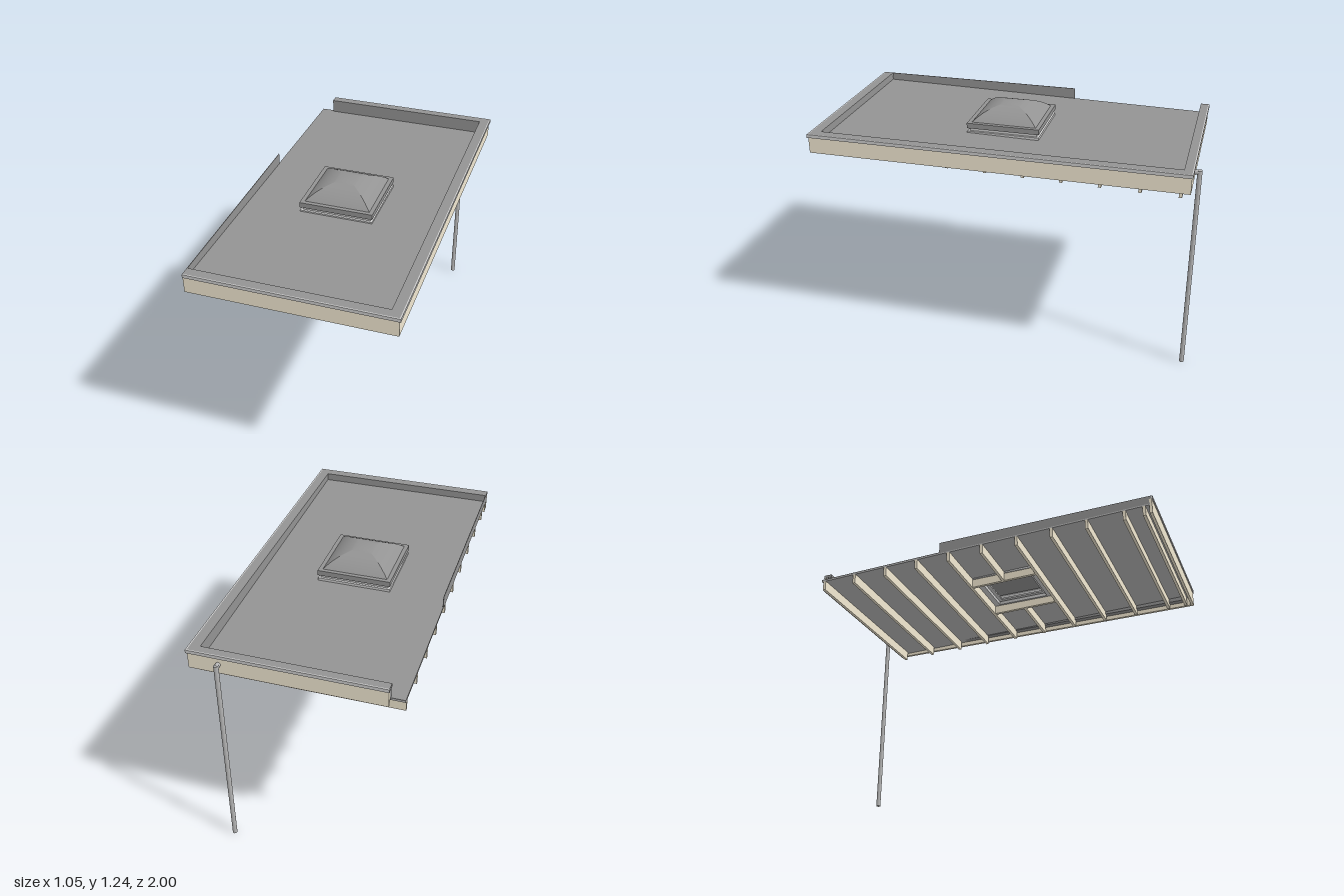
import * as THREE from 'three';
import { toCreasedNormals } from 'three/addons/utils/BufferGeometryUtils.js';

const metal = new THREE.MeshStandardMaterial({ color: 0xcccccc });
const pipeGrey = new THREE.MeshStandardMaterial({ color: 0xb6b6b6 });
const board = new THREE.MeshStandardMaterial({ color: 0xb8b8b8 });
const membrane = new THREE.MeshStandardMaterial({ color: 0x939393 });
const sheet = new THREE.MeshStandardMaterial({ color: 0x939393, side: THREE.DoubleSide });
const timber = new THREE.MeshStandardMaterial({ color: 0xf1e8d1 });

const SLOPE = 0.0167; // roof falls towards the back
const LIGHT_X = -0.036, LIGHT_Z = 0.057; // skylight centre

function add(parent, name, geometry, material) {
  const mesh = new THREE.Mesh(geometry, material);
  mesh.name = name;
  parent.add(mesh);
  return mesh;
}

// box given by its minimum and maximum on each axis
function box(parent, name, material, x0, x1, y0, y1, z0, z1) {
  const mesh = add(parent, name, new THREE.BoxGeometry(x1 - x0, y1 - y0, z1 - z0), material);
  mesh.position.set((x0 + x1) / 2, (y0 + y1) / 2, (z0 + z1) / 2);
}

function rectangle(path, x0, x1, y0, y1) {
  path.moveTo(x0, y0).lineTo(x1, y0).lineTo(x1, y1).lineTo(x0, y1).closePath();
  return path;
}

// flat plate lying level, drawn in x and -z
function plate(parent, name, material, shape, thickness, y) {
  const geometry = new THREE.ExtrudeGeometry(shape, { depth: thickness, bevelEnabled: false });
  geometry.rotateX(-Math.PI / 2);
  const mesh = add(parent, name, geometry, material);
  mesh.position.y = y;
  return mesh;
}

// level square ring around the skylight centre
function ring(parent, name, material, outer, inner, y0, y1) {
  const shape = rectangle(new THREE.Shape(), -outer / 2, outer / 2, -outer / 2, outer / 2);
  shape.holes.push(rectangle(new THREE.Path(), -inner / 2, inner / 2, -inner / 2, inner / 2));
  const mesh = plate(parent, name, material, shape, y1 - y0, y0);
  mesh.position.x = LIGHT_X;
  mesh.position.z = LIGHT_Z;
}

function createSlopedRoof() {
  const roof = new THREE.Group();
  roof.name = 'slopedRoof';
  roof.position.y = 1.038; // underside of the joists at z = 0
  roof.rotation.x = -SLOPE;

  // boarding and membrane with the skylight opening
  const shape = rectangle(new THREE.Shape(), -0.525, 0.505, -0.985, 0.932);
  const h = 0.15;
  shape.holes.push(rectangle(new THREE.Path(), LIGHT_X - h, LIGHT_X + h, -LIGHT_Z - h, -LIGHT_Z + h));
  plate(roof, 'boarding', board, shape, 0.008, 0.055);
  plate(roof, 'membrane', membrane, shape, 0.005, 0.063);

  // joists, the middle one cut at the opening
  const t = 0.008, left = LIGHT_X - 0.17, right = LIGHT_X + 0.17;
  for (const z of [0.953, 0.85, 0.65, 0.457, 0.26, -0.135, -0.33, -0.523, -0.72, -0.914]) {
    box(roof, 'joist', timber, -0.525, 0.483, 0, 0.055, z - t, z + t);
  }
  box(roof, 'cutJoist', timber, -0.525, left - t, 0, 0.055, 0.06 - t, 0.06 + t);
  box(roof, 'cutJoist', timber, right + t, 0.483, 0, 0.055, 0.06 - t, 0.06 + t);
  for (const x of [left, right]) {
    box(roof, 'trimmer', timber, x - t, x + t, 0, 0.055, -0.135 + t, 0.26 - t);
  }
  return roof;
}

function createParapet() {
  const parapet = new THREE.Group();
  parapet.name = 'parapet';

  // timber fascia boards
  box(parapet, 'frontFascia', timber, -0.525, 0.515, 1.06, 1.145, 0.98, 0.995);
  box(parapet, 'sideFascia', timber, 0.5, 0.515, 1.06, 1.145, -0.948, 0.98);
  box(parapet, 'backFascia', timber, -0.455, 0.515, 1.06, 1.145, -0.963, -0.948);

  // upstands behind the fascia
  box(parapet, 'frontUpstand', membrane, -0.525, 0.5, 1.115, 1.145, 0.947, 0.98);
  box(parapet, 'sideUpstand', membrane, 0.467, 0.5, 1.085, 1.145, -0.92, 0.947);
  box(parapet, 'backUpstand', membrane, -0.455, 0.5, 1.085, 1.145, -0.948, -0.92);

  // capping in one U-shaped piece
  const u = new THREE.Shape();
  u.moveTo(-0.525, -0.993).lineTo(0.515, -0.993).lineTo(0.515, 0.961).lineTo(-0.457, 0.961);
  u.lineTo(-0.457, 0.92).lineTo(0.465, 0.92).lineTo(0.465, -0.945).lineTo(-0.525, -0.945).closePath();
  plate(parapet, 'capping', membrane, u, 0.018, 1.145);

  // metal trim along the outer edge of the capping
  box(parapet, 'frontTrim', metal, -0.525, 0.522, 1.145, 1.163, 0.993, 1);
  box(parapet, 'sideTrim', metal, 0.515, 0.522, 1.145, 1.163, -0.961, 0.993);
  box(parapet, 'backTrim', metal, -0.457, 0.522, 1.145, 1.163, -0.968, -0.961);

  // thin flashing on the open side, level on top and following the deck below
  const f = new THREE.Shape();
  f.moveTo(-0.98, 1.163).lineTo(0.19, 1.163).lineTo(0.19, 1.098).lineTo(-0.98, 1.118).closePath();
  const flashing = new THREE.ExtrudeGeometry(f, { depth: 0.003, bevelEnabled: false });
  flashing.rotateY(Math.PI / 2);
  add(parapet, 'sideFlashing', flashing, sheet).position.x = -0.525;
  return parapet;
}

function createSkylight() {
  const skylight = new THREE.Group();
  skylight.name = 'skylight';
  ring(skylight, 'curb', metal, 0.365, 0.3, 1.085, 1.14);
  ring(skylight, 'baseFlange', metal, 0.39, 0.33, 1.1, 1.118);
  ring(skylight, 'innerLedge', metal, 0.32, 0.26, 1.105, 1.115);
  ring(skylight, 'topFrame', membrane, 0.392, 0.3, 1.135, 1.163);

  // flat pane closing the opening under the dome
  box(skylight, 'pane', membrane, LIGHT_X - 0.15, LIGHT_X + 0.15, 1.145, 1.15, LIGHT_Z - 0.15, LIGHT_Z + 0.15);

  // four-sided dome with curved faces
  const profile = [];
  const half = 0.175, rise = 0.073;
  const radius = (half * half + rise * rise) / (2 * rise);
  const sweep = Math.asin(half / radius);
  for (let i = 0; i <= 14; i++) {
    const a = sweep * (1 - i / 14);
    profile.push(new THREE.Vector2(Math.max(0, Math.SQRT2 * radius * Math.sin(a)), radius * Math.cos(a) - radius + rise));
  }
  const dome = new THREE.LatheGeometry(profile, 4, Math.PI / 4);
  dome.deleteAttribute('normal');
  dome.deleteAttribute('uv');
  add(skylight, 'dome', toCreasedNormals(dome, 0.3), sheet).position.set(LIGHT_X, 1.162, LIGHT_Z);
  return skylight;
}

function createDownpipe() {
  const downpipe = new THREE.Group();
  downpipe.name = 'downpipe';
  add(downpipe, 'pipe', new THREE.CylinderGeometry(0.0122, 0.0122, 1.122, 20), pipeGrey)
    .position.set(0.361, 0.561, -0.9878);
  const spout = add(downpipe, 'spout', new THREE.CylinderGeometry(0.0122, 0.0122, 0.035, 20), pipeGrey);
  spout.rotation.x = Math.PI / 2;
  spout.position.set(0.361, 1.112, -0.972);
  return downpipe;
}

export function createModel() {
  const model = new THREE.Group();
  model.name = 'flatRoof';
  model.add(createSlopedRoof(), createParapet(), createSkylight(), createDownpipe());
  return model;
}
